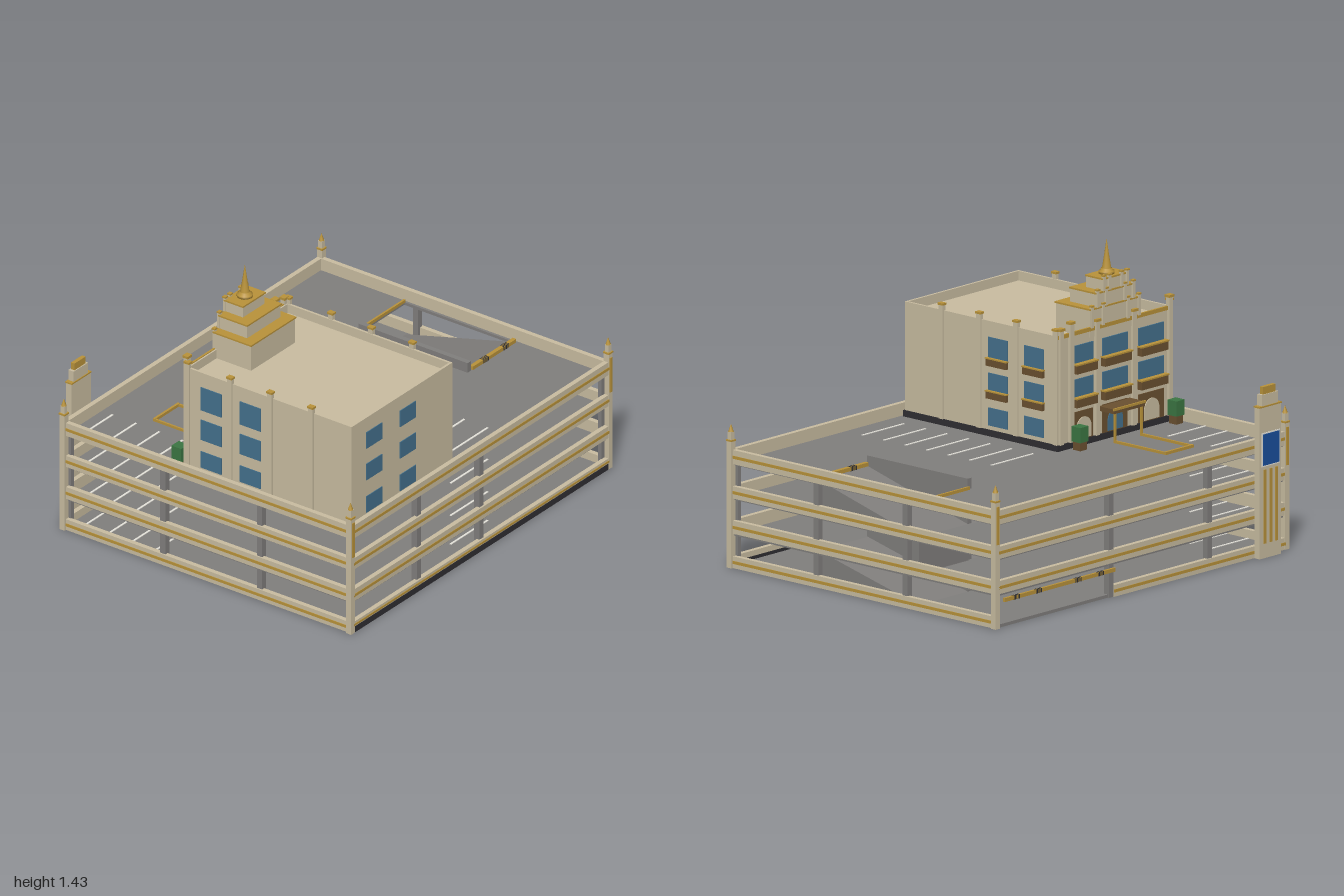
import * as THREE from 'three';

const mat = (name, color) => Object.assign(new THREE.MeshStandardMaterial({ color }), { name });

export function createModel() {
  const stone = mat('stone', 0xc8bca0), gold = mat('gold', 0xb8923a), concrete = mat('concrete', 0x807e7c);
  const dark = mat('dark', 0x2f2e32), glass = mat('glass', 0x44708c), brown = mat('brown', 0x6a5030);
  const green = mat('green', 0x3b7542), white = mat('white', 0xe4e2da), blue = mat('signBlue', 0x1a4f9c);
  const model = new THREE.Group();
  let target = model;

  const section = (name) => {
    target = new THREE.Group();
    target.name = name;
    model.add(target);
  };
  const add = (name, geo, m) => {
    const mesh = new THREE.Mesh(geo, m);
    mesh.name = name;
    target.add(mesh);
    return mesh;
  };
  // box given by its limits on each axis
  const box = (name, m, x0, x1, y0, y1, z0, z1) => {
    const g = new THREE.BoxGeometry(x1 - x0, y1 - y0, z1 - z0);
    g.translate((x0 + x1) / 2, (y0 + y1) / 2, (z0 + z1) / 2);
    return add(name, g, m);
  };
  // square column round a centre
  const post = (name, m, x, z, w, y0, y1, d = w) =>
    box(name, m, x - w / 2, x + w / 2, y0, y1, z - d / 2, z + d / 2);

  const levels = [0.015, 0.165, 0.335, 0.5];
  const Z0 = -0.81, Z1 = 0.835, X = 0.975;

  // floor slabs with ramp openings
  section('decks');
  const holes = [null, [0.615, 0.95], [0.22, 0.59], [0.615, 0.95]];
  const rect = (P, x0, x1, z0, z1) => {
    const p = new P();
    p.moveTo(x0, z0); p.lineTo(x1, z0); p.lineTo(x1, z1); p.lineTo(x0, z1); p.closePath();
    return p;
  };
  levels.forEach((y, i) => {
    const s = rect(THREE.Shape, -X, X, Z0, Z1);
    if (holes[i]) s.holes.push(rect(THREE.Path, ...holes[i], -0.31, 0.32));
    const g = new THREE.ExtrudeGeometry(s, { depth: 0.014, bevelEnabled: false });
    g.rotateX(Math.PI / 2).translate(0, y, 0);
    add('deck', g, concrete);
    // parking bays
    for (let k = 0; k < 7; k++) {
      const z = -0.09 + k * 0.134;
      box('bayLine', white, -0.06, 0.225, y, y + 0.003, z - 0.005, z + 0.005);
    }
    for (let k = 0; k < 4; k++) {
      const z = -0.735 + k * 0.134;
      box('bayLine', white, -0.97, -0.71, y, y + 0.003, z - 0.005, z + 0.005);
    }
  });
  box('frontPlinth', dark, -0.97, 0.97, 0, 0.03, 0.82, 0.849);
  box('foundation', concrete, -X, X, 0, 0.002, Z0, Z1);

  // ramps between floors
  section('ramps');
  const ramp = (x0, x1, y0, y1, zLow, zHigh) => {
    const s = new THREE.Shape([[zLow, y0], [zHigh, y0], [zHigh, y1]].map(p => new THREE.Vector2(...p)));
    const g = new THREE.ExtrudeGeometry(s, { depth: x1 - x0, bevelEnabled: false });
    g.rotateY(-Math.PI / 2).translate(x1, 0, 0);
    add('ramp', g, concrete);
  };
  ramp(0.615, 0.95, levels[0], levels[1], -0.3, 0.32);
  ramp(0.22, 0.59, levels[1], levels[2], -0.3, 0.32);
  ramp(0.615, 0.95, levels[2], levels[3], -0.3, 0.32);
  box('rampWall', concrete, 0.588, 0.615, 0.01, 0.55, -0.3, 0.325);
  box('rampEndWall', concrete, 0.615, 0.95, 0.165, 0.325, -0.305, -0.295);
  box('rampEdge', gold, 0.615, 0.95, 0.5, 0.515, -0.314, -0.304);
  const stripedBar = (x0, x1, y, z, d, marks) => {
    box('clearanceBar', gold, x0, x1, y, y + 0.018, z - d / 2, z + d / 2);
    for (const x of marks) for (let k = -2; k <= 2; k++)
      box('warningStripe', dark, x + k * 0.009 - 0.002, x + k * 0.009 + 0.002, y - 0.001, y + 0.019, z - d / 2 - 0.001, z + d / 2 + 0.001);
  };
  stripedBar(0.62, 0.95, 0.502, 0.322, 0.02, [0.72, 0.875]);
  stripedBar(0.2, 0.95, 0.125, -0.833, 0.012, [0.3, 0.45, 0.72, 0.87]);

  // parapet bands with a gold stripe
  section('parapets');
  const bands = [[0, 0.056], [0.163, 0.225], [0.33, 0.388], [0.493, 0.56]];
  bands.forEach(([a, b], i) => {
    const m = (a + b) / 2, t = 0.012, h = 0.007;
    const backEnd = i === 0 ? 0.19 : X;
    const y0 = i === 0 ? 0.03 : a;
    box('frontBand', stone, -X, X, y0, b, Z1 - t, Z1 + t);
    box('backBand', stone, -X, backEnd, a, b, Z0 - t, Z0 + t);
    box('frontStripe', gold, -X, X, m - h + (i ? 0 : 0.014), m + h + (i ? 0 : 0.01), Z1 + t, Z1 + t + 0.003);
    box('backStripe', gold, -X, backEnd, m - h, m + h, Z0 - t - 0.003, Z0 - t);
    for (const s of [-1, 1]) {
      post('sideBand', stone, s * X, (Z0 + Z1) / 2, 2 * t, a, b, Z1 - Z0);
      post('sideStripe', gold, s * (X + t + 0.0015), (Z0 + Z1) / 2, 0.003, m - h, m + h, Z1 - Z0);
    }
  });

  // grey supports and capped corner posts
  section('columns');
  for (const x of [-0.465, 0.012]) post('frontColumn', concrete, x, Z1 - 0.012, 0.03, 0, 0.5);
  for (const x of [-0.465, 0.205]) post('backColumn', concrete, x, Z0 + 0.008, 0.03, 0, 0.5);
  for (const s of [-1, 1]) {
    for (const z of [0.31, -0.245]) post('sideColumn', concrete, s * 0.965, z, 0.03, 0, 0.5);
    for (const z of [Z0, Z1]) {
      const x = s * 0.983, out = z > 0 ? 1 : -1;
      post('cornerColumn', concrete, s * 0.957, z - out * 0.02, 0.02, 0, 0.5);
      post('cornerPost', stone, x, z, 0.03, 0, 0.6);
      post('cornerInlay', gold, x, z + out * 0.016, 0.016, 0.4, 0.58, 0.005);
      post('cornerCollar', gold, x, z, 0.034, 0.6, 0.608);
      post('cornerCap', stone, x, z, 0.022, 0.608, 0.645);
      const tip = add('cornerFinial', new THREE.ConeGeometry(0.013, 0.037, 8), gold);
      tip.position.set(x, 0.663, z);
    }
  }

  // rooftop building
  section('building');
  const bx0 = -0.935, bx1 = -0.165, bz0 = -0.145, bz1 = 0.805, top = 1.045;
  box('base', dark, bx0 - 0.006, bx1 + 0.006, 0.5, 0.53, bz0 - 0.006, bz1 + 0.006);
  box('body', stone, bx0, bx1, 0.53, 1.0, bz0, bz1);
  const r = 0.012;
  box('rimFront', stone, bx0, bx1, 1, top, bz1 - r, bz1);
  box('rimBack', stone, bx0, bx1, 1, top, bz0, bz0 + r);
  box('rimLeft', stone, bx1 - r, bx1, 1, top, bz0 + r, bz1 - r);
  box('rimRight', stone, bx0, bx0 + r, 1, top, bz0 + r, bz1 - r);
  for (const [x, z] of [[-0.765, 0], [-0.508, 0]])
    for (const y of [0.55, 0.72, 0.885]) box('frontWindow', glass, x - 0.06, x + 0.06, y, y + 0.085, bz1, bz1 + 0.004);

  for (const s of [-1, 1]) {
    const x = s > 0 ? bx1 : bx0;
    for (const z of [0.575, 0.34, 0.11, -0.135]) {
      post('sidePilaster', stone, x, z, 0.018, 0.53, 1.07, 0.026);
      post('sidePilasterCap', gold, x, z, 0.026, 1.07, 1.08, 0.032);
    }
    for (const z of [0.225, 0])
      [0.55, 0.695, 0.85].forEach((y, i) => {
        const h = i === 0 ? 0.085 : i === 1 ? 0.105 : 0.12;
        post('sideWindow', glass, x + s * 0.002, z, 0.004, y, y + h, 0.12);
        if (s > 0 && i) {
          post('sideBalcony', brown, x + 0.008, z, 0.016, y - 0.015, y + 0.018, 0.125);
          post('sideBalconyRail', gold, x + 0.009, z, 0.02, y + 0.018, y + 0.024, 0.132);
        }
      });
  }

  // entrance facade
  section('entranceFacade');
  for (const x of [-0.92, -0.675, -0.425, -0.25, -0.18]) {
    const y = x === -0.92 || x === -0.25 ? 1.09 : 1.07;
    post('pilaster', stone, x, bz0 - 0.004, 0.026, 0.53, y, 0.022);
    post('pilasterCap', gold, x, bz0 - 0.004, 0.034, y, y + 0.012, 0.03);
  }
  box('cornice', gold, bx0, bx1, 1.03, top + 0.004, bz0 - 0.006, bz0 + 0.004);
  for (const x of [-0.797, -0.55, -0.337]) {
    const w = x === -0.337 ? 0.13 : 0.17;
    for (const y of [0.71, 0.87]) {
      post('window', glass, x, bz0 - 0.003, w, y, y + 0.11, 0.006);
      post('balcony', brown, x, bz0 - 0.014, w + 0.01, y - 0.02, y + 0.02, 0.028);
      post('balconyRail', gold, x, bz0 - 0.015, w + 0.018, y + 0.02, y + 0.027, 0.034);
    }
    // arched shop front
    post('shopFrame', brown, x, bz0 - 0.002, w, 0.53, 0.665, 0.004);
    const a = new THREE.Shape();
    a.moveTo(-0.05, 0); a.lineTo(0.05, 0); a.lineTo(0.05, 0.05);
    a.absarc(0, 0.05, 0.05, 0, Math.PI, false); a.closePath();
    const arch = new THREE.ExtrudeGeometry(a, { depth: 0.004, bevelEnabled: false });
    arch.translate(x, 0.535, bz0 - 0.008);
    add('archedDoor', arch, x === -0.55 ? glass : stone);
  }
  box('awning', brown, -0.655, -0.445, 0.64, 0.662, -0.24, bz0);
  box('awningTrim', gold, -0.658, -0.442, 0.655, 0.666, -0.243, -0.236);
  for (const x of [-0.64, -0.46]) {
    post('awningPost', gold, x, -0.232, 0.01, 0.5, 0.64);
    post('pathEdge', gold, x, -0.39, 0.009, 0.5, 0.512, 0.32);
  }
  box('pathEnd', gold, -0.645, -0.455, 0.5, 0.514, -0.553, -0.541);
  for (const x of [-0.915, -0.262]) {
    post('planter', brown, x, -0.195, 0.045, 0.5, 0.54);
    post('shrub', green, x, -0.195, 0.056, 0.54, 0.612);
  }

  // stepped crown and spire
  section('crown');
  const steps = [[0.168, 1.0, 1.135, 0.065], [0.128, 1.135, 1.205, 0.012], [0.083, 1.205, 1.265, -0.046]];
  const cx = -0.55;
  for (const [w, y0, y1, z] of steps) {
    box('crownStep', stone, cx - w, cx + w, y0, y1 - 0.008, bz0 - 0.004, z);
    box('crownTrim', gold, cx - w - 0.004, cx + w + 0.004, y1 - 0.008, y1, bz0 - 0.008, z + 0.004);
    for (const f of [-0.95, -0.5, 0.5, 0.95]) {
      post('crownFin', stone, cx + f * w, bz0 - 0.006, 0.016, Math.max(y0, 1.045), y1 + 0.008, 0.014);
      post('crownFinCap', gold, cx + f * w, bz0 - 0.006, 0.02, y1 + 0.008, y1 + 0.016, 0.018);
    }
  }
  const profile = [[0, 1.265], [0.038, 1.265], [0.038, 1.277], [0.03, 1.277], [0.026, 1.29], [0.022, 1.29], [0.012, 1.35], [0, 1.43]];
  add('spire', new THREE.LatheGeometry(profile.map(p => new THREE.Vector2(...p)), 12), gold).position.set(cx, 0, -0.097);

  // sign pylon
  section('signPylon');
  const px = -0.833, pz = -0.84;
  post('pylonBody', stone, px, pz, 0.146, 0, 0.715, 0.034);
  post('pylonTrim', gold, px, pz, 0.15, 0.715, 0.722, 0.038);
  post('pylonStep', stone, px, pz, 0.11, 0.722, 0.775, 0.03);
  post('pylonCap', gold, px, pz, 0.085, 0.775, 0.81, 0.02);
  post('signBorder', white, px, pz - 0.018, 0.12, 0.435, 0.595, 0.004);
  post('signPanel', blue, px, pz - 0.021, 0.11, 0.441, 0.589, 0.004);
  for (const d of [-0.04, 0, 0.04]) post('pylonFin', gold, px + d, pz - 0.018, 0.016, 0.07, 0.42, 0.006);

  return model;
}
